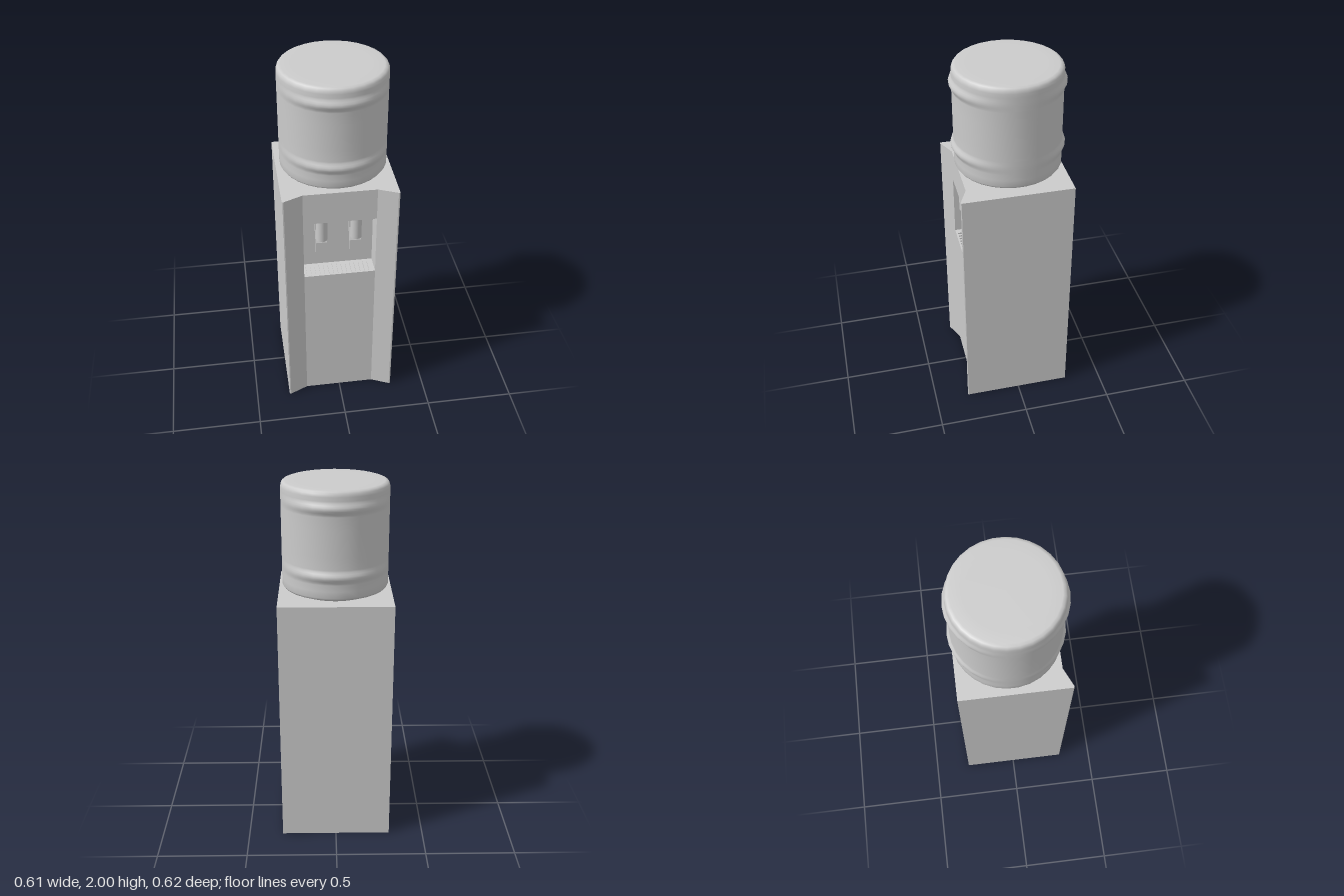
import * as THREE from 'three';
import { mergeVertices } from 'three/addons/utils/BufferGeometryUtils.js';

const material = new THREE.MeshStandardMaterial({ color: 0xcccccc });

const NICHE = { x: 0.197, back: 0.153, bottom: 0.86, top: 1.215 };
const PIT = { x: 0.185, back: 0.163, front: 0.253, bottom: 0.84 };

function add(parent, name, geometry, x = 0, y = 0, z = 0) {
  const mesh = new THREE.Mesh(geometry, material);
  mesh.name = name;
  mesh.position.set(x, y, z);
  parent.add(mesh);
  return mesh;
}

// Plan outline of the cabinet; points are [x, z]
function cabinetPlan(withNiche) {
  const half = [[0.307, -0.295], [0.307, 0.305], [0.304, 0.309], [0.298, 0.309], [0.197, 0.263]];
  if (withNiche) half.push([NICHE.x, NICHE.back]);
  const mirrored = half.map(([x, z]) => [-x, z]).reverse();
  return new THREE.Shape([...half, ...mirrored].map(([x, z]) => new THREE.Vector2(x, -z)));
}

// Extrudes a plan shape upwards from y0 to y1
function slab(shape, y0, y1) {
  return new THREE.ExtrudeGeometry(shape, { depth: y1 - y0, bevelEnabled: false })
    .rotateX(-Math.PI / 2).translate(0, y0, 0);
}

function createCabinet() {
  const cabinet = new THREE.Group();
  cabinet.name = 'cabinet';
  add(cabinet, 'lowerCabinet', slab(cabinetPlan(false), 0, PIT.bottom));

  // Niche floor with the drip pit cut into it
  const floor = cabinetPlan(false);
  floor.holes.push(new THREE.Path([
    [-PIT.x, PIT.back], [PIT.x, PIT.back], [PIT.x, PIT.front], [-PIT.x, PIT.front],
  ].map(([x, z]) => new THREE.Vector2(x, -z))));
  add(cabinet, 'nicheFloor', slab(floor, PIT.bottom, NICHE.bottom));

  add(cabinet, 'nicheWalls', slab(cabinetPlan(true), NICHE.bottom, NICHE.top));
  add(cabinet, 'upperCabinet', slab(cabinetPlan(false), NICHE.top, 1.4));
  return cabinet;
}

function createGrille() {
  const grille = new THREE.Group();
  grille.name = 'dripGrille';
  const count = 15;
  const pitch = (2 * PIT.x) / count;
  const slat = new THREE.BoxGeometry(pitch * 0.5, 0.01, PIT.front - PIT.back);
  for (let i = 0; i < count; i++) {
    add(grille, 'grilleSlat', slat, -PIT.x + (i + 0.5) * pitch, 0.853, (PIT.front + PIT.back) / 2);
  }
  return grille;
}

function createTap(x) {
  const tap = new THREE.Group();
  tap.name = 'tap';
  tap.position.x = x;
  add(tap, 'spout', new THREE.CylinderGeometry(0.031, 0.031, 0.135, 20), 0, 1.1475, 0.219);

  // Bent push lever behind the spout; side profile points are [z, y]
  const front = [[0.168, 1.19], [0.174, 1.11], [0.203, 1.04], [0.203, 0.975]];
  const outline = [...front, ...front.map(([z, y]) => [z - 0.015, y]).reverse()];
  const lever = new THREE.ExtrudeGeometry(
    new THREE.Shape(outline.map(([z, y]) => new THREE.Vector2(-z, y))),
    { depth: 0.062, bevelEnabled: false },
  ).translate(0, 0, -0.031).rotateY(Math.PI / 2);
  add(tap, 'lever', lever);
  return tap;
}

// Bottle with two ribs that swell only towards the front and back
function createBottle() {
  const profile = [[0, 1.4], [0.2, 1.4], [0.278, 1.432], [0.287, 1.445], [0.287, 1.48]];
  for (const mid of [1.555, 1.91]) {
    for (let i = -4; i <= 4; i++) profile.push([0.287, mid + i * 0.01]);
    if (mid < 1.6) profile.push([0.287, 1.66], [0.287, 1.8]);
  }
  profile.push([0.287, 1.97], [0.284, 1.985], [0.276, 1.995], [0.262, 2], [0.2, 2], [0, 2]);
  const geometry = new THREE.LatheGeometry(profile.map(([r, y]) => new THREE.Vector2(r, y)), 30);
  const pos = geometry.attributes.position;
  for (let i = 0; i < pos.count; i++) {
    const y = pos.getY(i);
    const d = Math.min(Math.abs(y - 1.555), Math.abs(y - 1.91)) / 0.04;
    const swell = d < 1 ? 0.055 * 0.5 * (1 + Math.cos(Math.PI * d)) : 0;
    pos.setZ(i, pos.getZ(i) * (1 + swell));
  }
  geometry.deleteAttribute('uv');
  geometry.deleteAttribute('normal');
  const smooth = mergeVertices(geometry, 1e-5);
  smooth.computeVertexNormals();
  return smooth;
}

export function createModel() {
  const model = new THREE.Group();
  model.name = 'waterCooler';
  model.add(createCabinet(), createGrille());
  for (const x of [-0.093, 0.093]) model.add(createTap(x));
  add(model, 'bottle', createBottle(), 0, 0, -0.007);
  return model;
}
